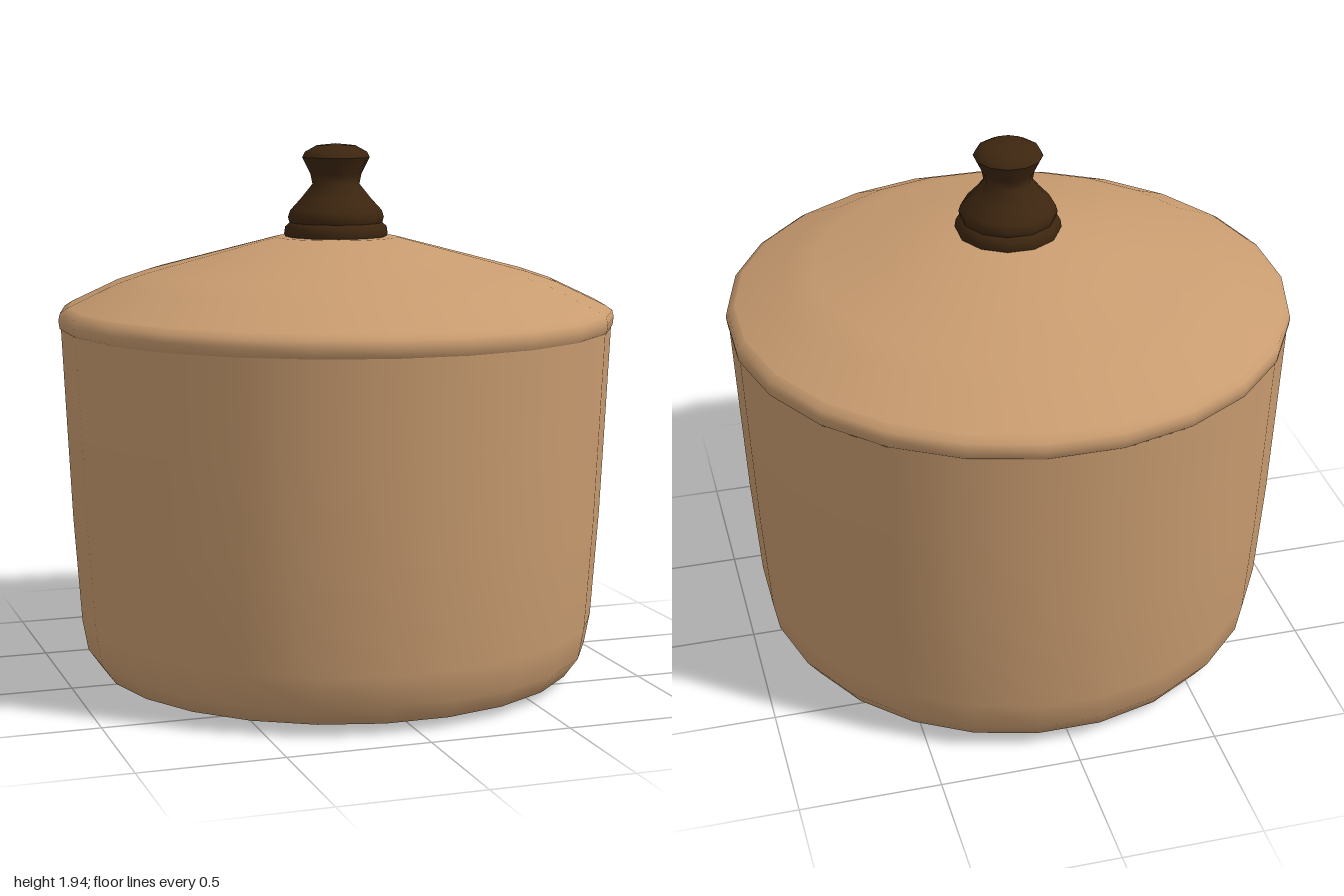
import * as THREE from 'three';

const clay = new THREE.MeshStandardMaterial({ color: 0xc99c70 });
clay.name = 'tan enamel';
const wood = new THREE.MeshStandardMaterial({ color: 0x3d2610 });
wood.name = 'dark wood';

// Turned part from [radius, height] points, listed bottom to top
function turned(name, profile, sides, material) {
  const points = profile.map(([r, y]) => new THREE.Vector2(r, y));
  const geometry = new THREE.LatheGeometry(points, sides, Math.PI / sides, Math.PI * 2);
  const mesh = new THREE.Mesh(geometry, material);
  mesh.name = name;
  return mesh;
}

export function createModel() {
  const pot = new THREE.Group();
  pot.name = 'lidded pot';

  // Pot body with a rounded foot and slightly flared wall
  pot.add(turned('potBody', [
    [0, 0.005], [0.4, 0.01], [0.78, 0.02], [0.87, 0.04], [0.92, 0.11],
    [0.94, 0.22], [0.966, 0.6], [0.982, 0.95], [0.997, 1.285],
  ], 24, clay));

  // Rounded rim band of the lid
  pot.add(turned('lidRim', [
    [0.985, 1.275], [1.002, 1.29], [1.006, 1.32], [1.0, 1.345], [0.975, 1.362],
  ], 24, clay));

  // Shallow domed lid
  pot.add(turned('lidDome', [
    [0.975, 1.362], [0.8, 1.445], [0.69, 1.482], [0.45, 1.545],
    [0.22, 1.605], [0, 1.612],
  ], 24, clay));

  // Turned knob: base disc, waisted stem, flared cap
  const knob = new THREE.Group();
  knob.name = 'knob';
  knob.add(
    turned('knobBase', [[0.18, 1.6], [0.188, 1.615], [0.184, 1.642], [0.168, 1.656]], 12, wood),
    turned('knobStem', [
      [0.168, 1.656], [0.174, 1.675], [0.166, 1.7], [0.125, 1.745],
      [0.085, 1.795], [0.092, 1.83], [0.122, 1.89],
    ], 12, wood),
    turned('knobCap', [[0.122, 1.89], [0.112, 1.91], [0.07, 1.933], [0, 1.94]], 12, wood),
  );
  pot.add(knob);

  return pot;
}
